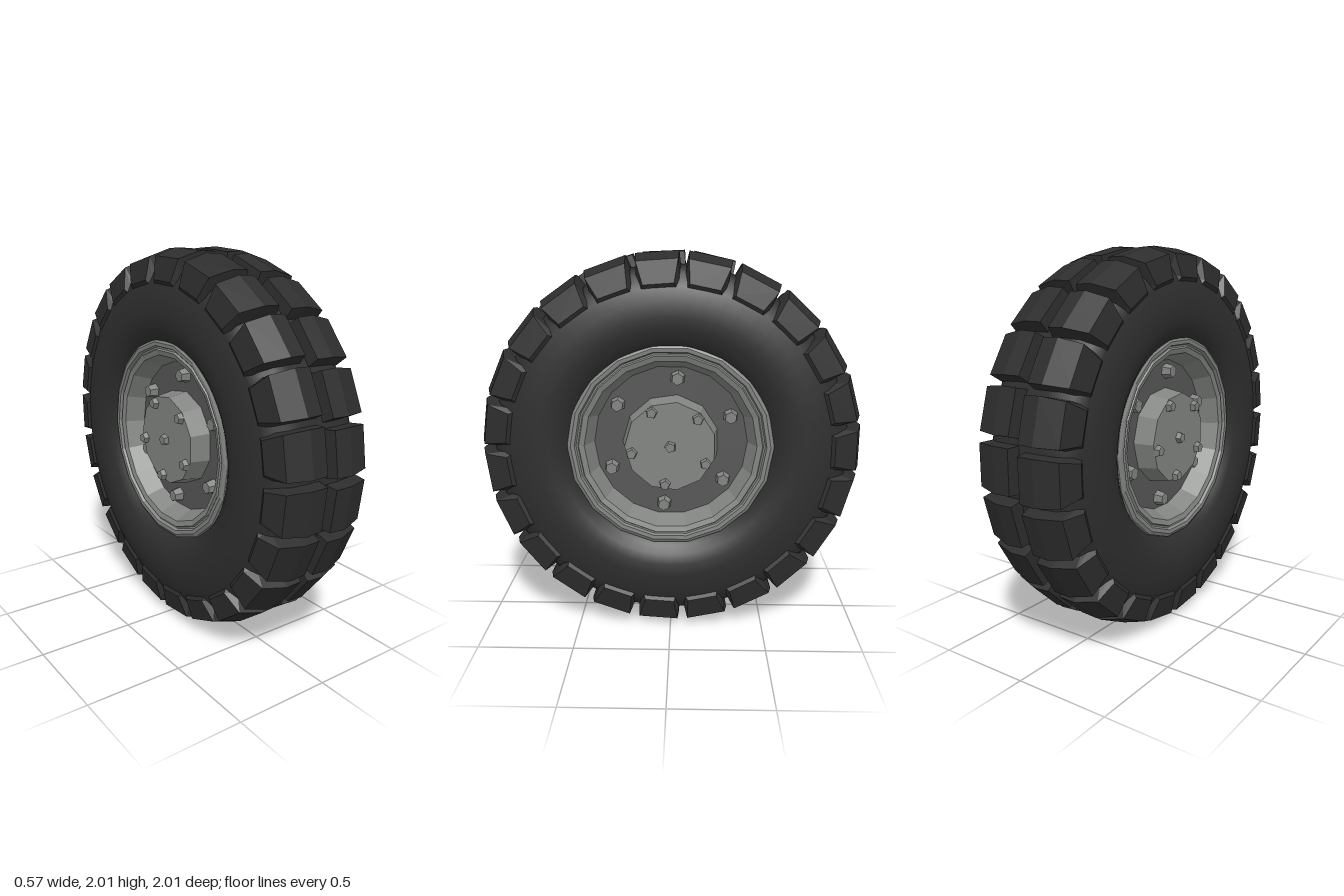
import * as THREE from 'three';

const BLOCKS = 23;
const rad = THREE.MathUtils.degToRad;

const mat = (name, color, flatShading) => {
  const m = new THREE.MeshStandardMaterial({ color, flatShading });
  m.name = name;
  return m;
};

function add(parent, name, geometry, material) {
  const mesh = new THREE.Mesh(geometry, material);
  mesh.name = name;
  parent.add(mesh);
  return mesh;
}

// Revolve [axial, radius] pairs about the x axis
function revolve(profile, segments) {
  const pts = profile.map(([x, r]) => new THREE.Vector2(r, x));
  return new THREE.LatheGeometry(pts, segments).rotateZ(-Math.PI / 2);
}

// Tapered solid along +x, from its base plane to its top plane
function stud(rTop, rBase, from, to, sides) {
  return new THREE.CylinderGeometry(rTop, rBase, to - from, sides)
    .rotateZ(-Math.PI / 2).translate((from + to) / 2, 0, 0);
}

// Tread lug: flat top wrapping over the shoulder, with flared side walls
function lugGeometry() {
  const top = [[0.03, 1.0], [0.12, 1.005], [0.243, 0.967], [0.27, 0.85]];
  const base = [[0.014, 0.9], [0.12, 0.9], [0.215, 0.87], [0.24, 0.8]];
  const at = ([x, r], deg) => [x, r * Math.cos(rad(deg)), r * Math.sin(rad(deg))];
  const pos = [];
  const quad = (a, b, c, d) => pos.push(...a, ...b, ...c, ...a, ...c, ...d);
  const topAngle = [6.3, 6.4, 6.2, 5.2];
  const T = (i, s) => at(top[i], s * topAngle[i]);
  const B = (i, s) => at(base[i], s * 7.3);
  for (let i = 0; i < 3; i++) {
    quad(T(i, -1), T(i, 1), T(i + 1, 1), T(i + 1, -1));
    quad(B(i, 1), B(i + 1, 1), T(i + 1, 1), T(i, 1));
    quad(B(i + 1, -1), B(i, -1), T(i, -1), T(i + 1, -1));
  }
  quad(B(0, -1), B(0, 1), T(0, 1), T(0, -1));
  quad(B(3, -1), T(3, -1), T(3, 1), B(3, 1));
  const g = new THREE.BufferGeometry();
  g.setAttribute('position', new THREE.Float32BufferAttribute(pos, 3));
  g.computeVertexNormals();
  return g;
}

export function createModel() {
  const rubber = mat('tyre rubber', 0x2e2e2e, false);
  const lugRubber = mat('tread rubber', 0x2d2d2d, true);
  const steel = mat('rim steel', 0x818481, true);
  const darkSteel = mat('disc steel', 0x565656, true);

  const wheel = new THREE.Group();
  wheel.name = 'wheel';

  // Tyre carcass, mirrored about the centre plane
  const half = [[0.1, 0.938], [0.17, 0.928], [0.225, 0.9], [0.258, 0.835], [0.278, 0.76],
    [0.285, 0.69], [0.28, 0.63], [0.262, 0.58], [0.235, 0.54], [0.19, 0.5]];
  const mirrored = half.map(([x, r]) => [-x, r]).reverse();
  add(wheel, 'tyreCarcass', revolve([...mirrored, ...half], 56), rubber).position.y = 1;

  const lug = lugGeometry();
  const rimProfile = [[0.2, 0.545], [0.232, 0.538], [0.242, 0.52], [0.24, 0.5], [0.222, 0.493],
    [0.222, 0.484], [0.234, 0.478], [0.225, 0.45], [0.12, 0.405]];
  const rim = revolve(rimProfile, 18);
  const disc = stud(0.425, 0.425, 0.09, 0.125, 12);
  const hub = stud(0.238, 0.26, 0.1, 0.235, 11);
  const wheelNut = stud(0.032, 0.042, 0.12, 0.175, 6);
  const hubBolt = stud(0.026, 0.033, 0.23, 0.262, 5);

  for (const side of [1, -1]) {
    const half = new THREE.Group();
    half.name = side > 0 ? 'leftSide' : 'rightSide';
    half.rotation.y = side > 0 ? 0 : Math.PI;
    half.position.y = 1;
    wheel.add(half);

    // Tread row
    for (let k = 0; k < BLOCKS; k++) {
      const e = (k + 0.5) * 360 / BLOCKS;
      const elevation = side > 0 ? e : 180 - (e + 1.5);
      add(half, 'treadLug', lug, lugRubber).rotation.x = rad(90 - elevation);
    }

    // Rim, disc and hub
    const centre = new THREE.Group();
    centre.name = 'rimAssembly';
    centre.position.y = 0.015;
    half.add(centre);
    add(centre, 'rim', rim, steel);
    add(centre, 'disc', disc, darkSteel);
    add(centre, 'hub', hub, steel);
    add(centre, 'centreBolt', hubBolt, steel);

    // Rings of fasteners, by elevation angle seen from outside
    const ring = (name, geometry, count, radius, start) => {
      for (let i = 0; i < count; i++) {
        const a = rad(start + i * 360 / count);
        const bolt = add(centre, name, geometry, steel);
        bolt.position.set(0, radius * Math.sin(a), -radius * Math.cos(a));
        bolt.rotation.x = a;
      }
    };
    ring('wheelNut', wheelNut, 6, 0.345, 24);
    ring('hubBolt', hubBolt, 5, 0.205, 46);
  }
  return wheel;
}
